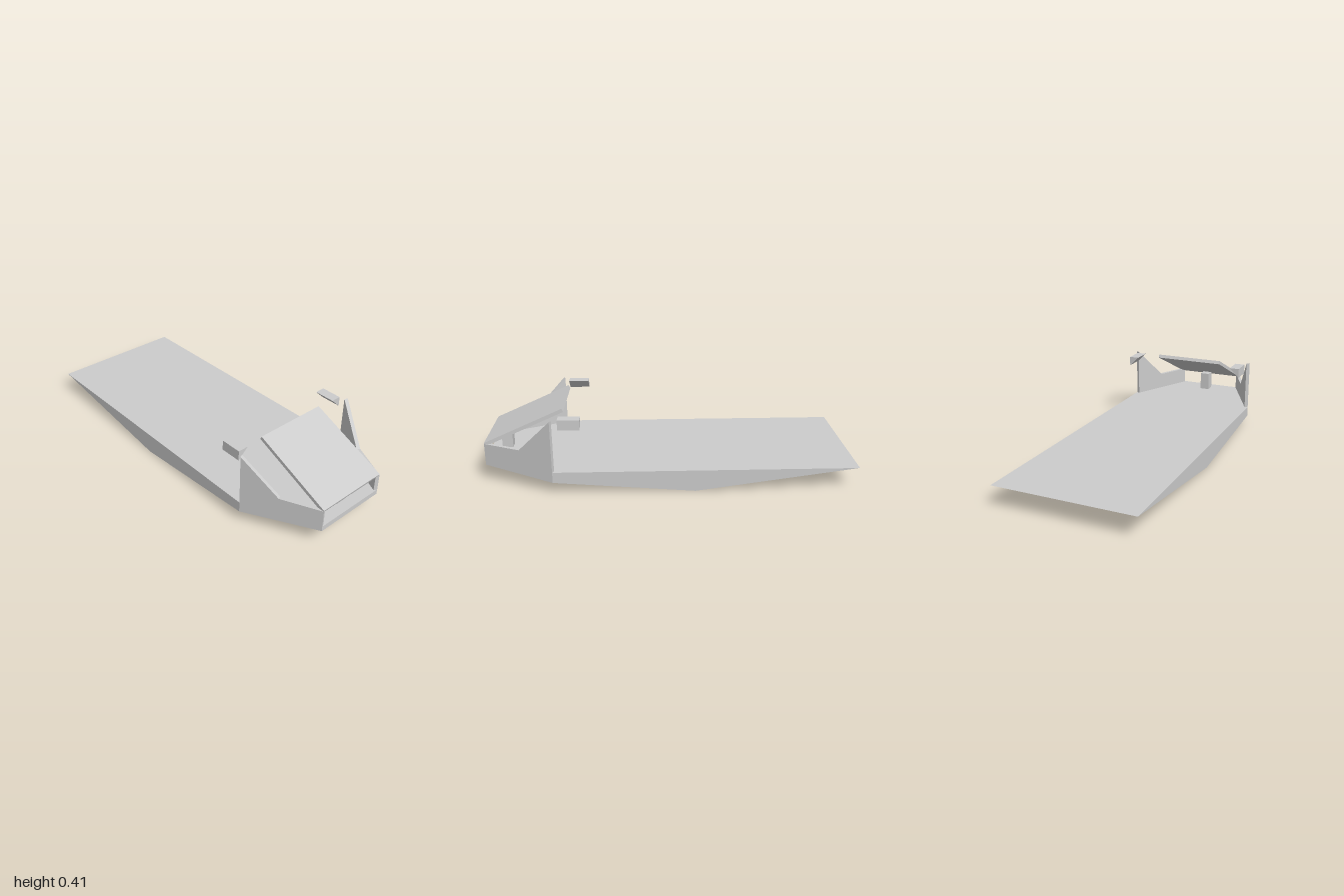
import * as THREE from 'three';
import { ConvexGeometry } from 'three/addons/geometries/ConvexGeometry.js';

const DECK = 0.118;   // deck height
const HALF = 0.385;   // half width of the hull
const BOW = 0.205;    // half width at the narrow end
const THICK = 0.02;   // plate thickness

export function createModel() {
  const group = new THREE.Group();
  const grey = new THREE.MeshStandardMaterial({ color: 0xcccccc });
  grey.name = 'light grey';

  const add = (name, geometry) => {
    const mesh = new THREE.Mesh(geometry, grey);
    mesh.name = name;
    group.add(mesh);
    return mesh;
  };
  const polygon = (pts) => new THREE.Shape(pts.map(([x, y]) => new THREE.Vector2(x, y)));

  // Wedge hull: stations of x, keel height and half width under a flat deck
  const stations = [[-1, DECK, HALF], [-0.13, 0, HALF], [0.62, 0.06, HALF], [1, 0.09, BOW]];
  const points = [];
  for (const [x, y, w] of stations) {
    for (const s of [1, -1]) {
      points.push(new THREE.Vector3(x, DECK, s * w));
      if (y < DECK) points.push(new THREE.Vector3(x, y, s * w));
    }
  }
  add('hull', new ConvexGeometry(points));

  // Side walls along the tapered end, with a sloping shoulder
  const length = Math.hypot(0.38, HALF - BOW);
  const angle = Math.atan2(HALF - BOW, 0.38);
  const wallShape = polygon([
    [0, DECK], [length, DECK], [length, 0.212], [length * 0.474, 0.212], [0, 0.4],
  ]);
  for (const s of [1, -1]) {
    const side = s > 0 ? 'front' : 'rear';
    const wall = new THREE.ExtrudeGeometry(wallShape, { depth: THICK, bevelEnabled: false });
    if (s > 0) wall.translate(0, 0, -THICK);
    const wallMesh = add(side + 'Wall', wall);
    wallMesh.rotation.y = s * angle;
    wallMesh.position.set(0.62, 0, s * HALF);

    // Triangular block floating inboard of each wall top
    const block = new THREE.ExtrudeGeometry(
      polygon([[-s * 0.362, 0.4], [-s * 0.305, 0.4], [-s * 0.362, 0.345]]),
      { depth: 0.115, bevelEnabled: false },
    );
    block.rotateY(Math.PI / 2);
    add(side + 'Block', block).position.x = 0.468;
  }

  // Sloping roof plate rising inward from the narrow end
  const rise = 0.19, run = 0.425;
  const roof = new THREE.BoxGeometry(Math.hypot(run, rise), THICK, 2 * BOW);
  roof.translate(-Math.hypot(run, rise) / 2, -THICK / 2, 0);
  const roofMesh = add('roof', roof);
  roofMesh.rotation.z = -Math.atan2(rise, run);
  roofMesh.position.set(1, 0.217, 0);

  // Central post under the roof
  add('post', new THREE.BoxGeometry(0.06, 0.225 - DECK, 0.056))
    .position.set(0.91, (0.225 + DECK) / 2, 0);

  return group;
}
